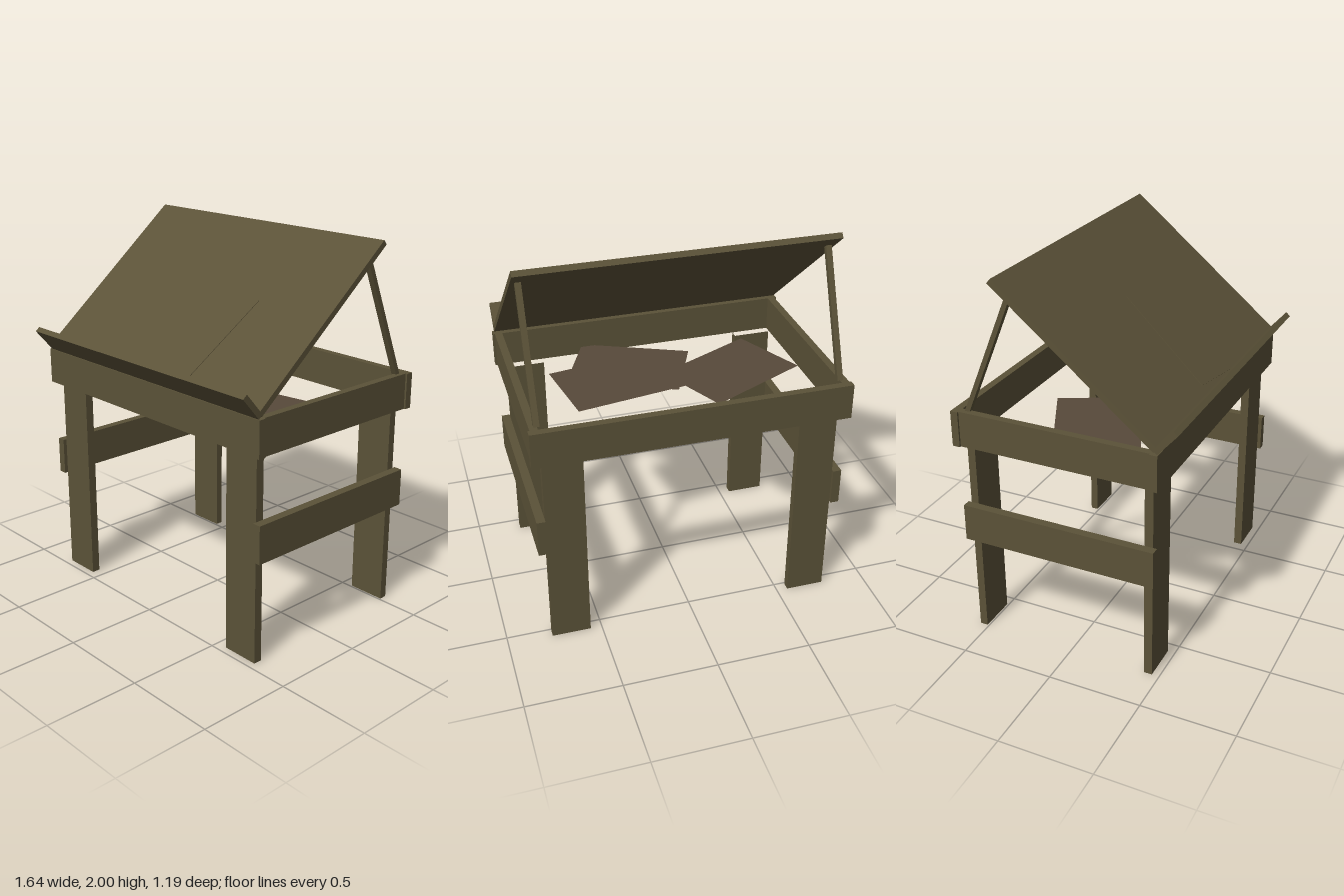
import * as THREE from 'three';

export function createModel() {
  const model = new THREE.Group();
  const wood = new THREE.MeshStandardMaterial({ color: 0x5b5238 });
  const paper = new THREE.MeshStandardMaterial({ color: 0x57493a, side: THREE.DoubleSide });
  wood.name = 'wood';
  paper.name = 'paper';

  const add = (name, geometry, material = wood) => {
    const mesh = new THREE.Mesh(geometry, material);
    mesh.name = name;
    model.add(mesh);
    return mesh;
  };
  // Box given by its ranges on each axis
  const box = (name, [x0, x1], [y0, y1], [z0, z1]) => {
    const mesh = add(name, new THREE.BoxGeometry(x1 - x0, y1 - y0, z1 - z0));
    mesh.position.set((x0 + x1) / 2, (y0 + y1) / 2, (z0 + z1) / 2);
    return mesh;
  };
  // Plank running between two [z, y] points in the side profile
  const plank = (name, x, width, thick, [z0, y0], [z1, y1]) => {
    const mesh = add(name, new THREE.BoxGeometry(width, Math.hypot(z1 - z0, y1 - y0), thick));
    mesh.position.set(x, (y0 + y1) / 2, (z0 + z1) / 2);
    mesh.rotation.x = Math.atan2(z1 - z0, y1 - y0);
    return mesh;
  };

  // Upper frame
  box('frontRail', [-0.82, 0.82], [1.1, 1.29], [0.46, 0.5]);
  box('backRail', [-0.82, 0.82], [1.1, 1.29], [-0.6, -0.56]);

  for (const s of [-1, 1]) {
    const side = s > 0 ? 'left' : 'right';
    const span = (a, b) => (s > 0 ? [a, b] : [-b, -a]);
    box(side + 'FrameRail', span(0.77, 0.81), [1.1, 1.29], [-0.56, 0.46]);
    box(side + 'LowerRail', span(0.765, 0.81), [0.56, 0.76], [-0.57, 0.48]);
    for (const [end, z] of [['Front', [0.415, 0.46]], ['Back', [-0.552, -0.51]]]) {
      const leg = box(side + end + 'Leg', span(0.56, 0.765), [0, 1.1], z);
      // legs are open where they meet the frame
      const g = leg.geometry;
      g.setIndex(Array.from(g.index.array).filter((_, i) => i < 12 || i >= 18));
      g.clearGroups();
    }
    plank(side + 'Prop', s * 0.772, 0.03, 0.025, [-0.525, 1.285], [-0.263, 1.915]);
  }

  // Tilted board with its ledge
  const low = [0.485, 1.31], high = [-0.343, 1.988];
  const board = plank('board', 0, 1.62, 0.03, low, high);
  plank('ledge', 0, 1.62, 0.03, [0.483, 1.3], [0.583, 1.416]);

  // Sheet lying on the board
  const sheet = new THREE.Mesh(new THREE.BoxGeometry(0.44, 0.59, 0.004), wood);
  sheet.name = 'boardSheet';
  sheet.position.set(0.095, -0.22, 0.0155);
  sheet.rotation.z = -0.14;
  board.add(sheet);

  // Loose sheets inside the frame: centre x, centre z, turn, height
  const sheets = [
    [0.24, 0.05, 0.16, 1.137],
    [0.14, 0.17, -0.42, 1.14],
    [-0.375, -0.025, 0.45, 1.143],
  ];
  sheets.forEach(([x, z, turn, y], i) => {
    const g = new THREE.PlaneGeometry(0.6, 0.43).rotateX(-Math.PI / 2);
    const mesh = add('looseSheet' + (i + 1), g, paper);
    mesh.position.set(x, y, z);
    mesh.rotation.y = turn;
  });

  return model;
}
